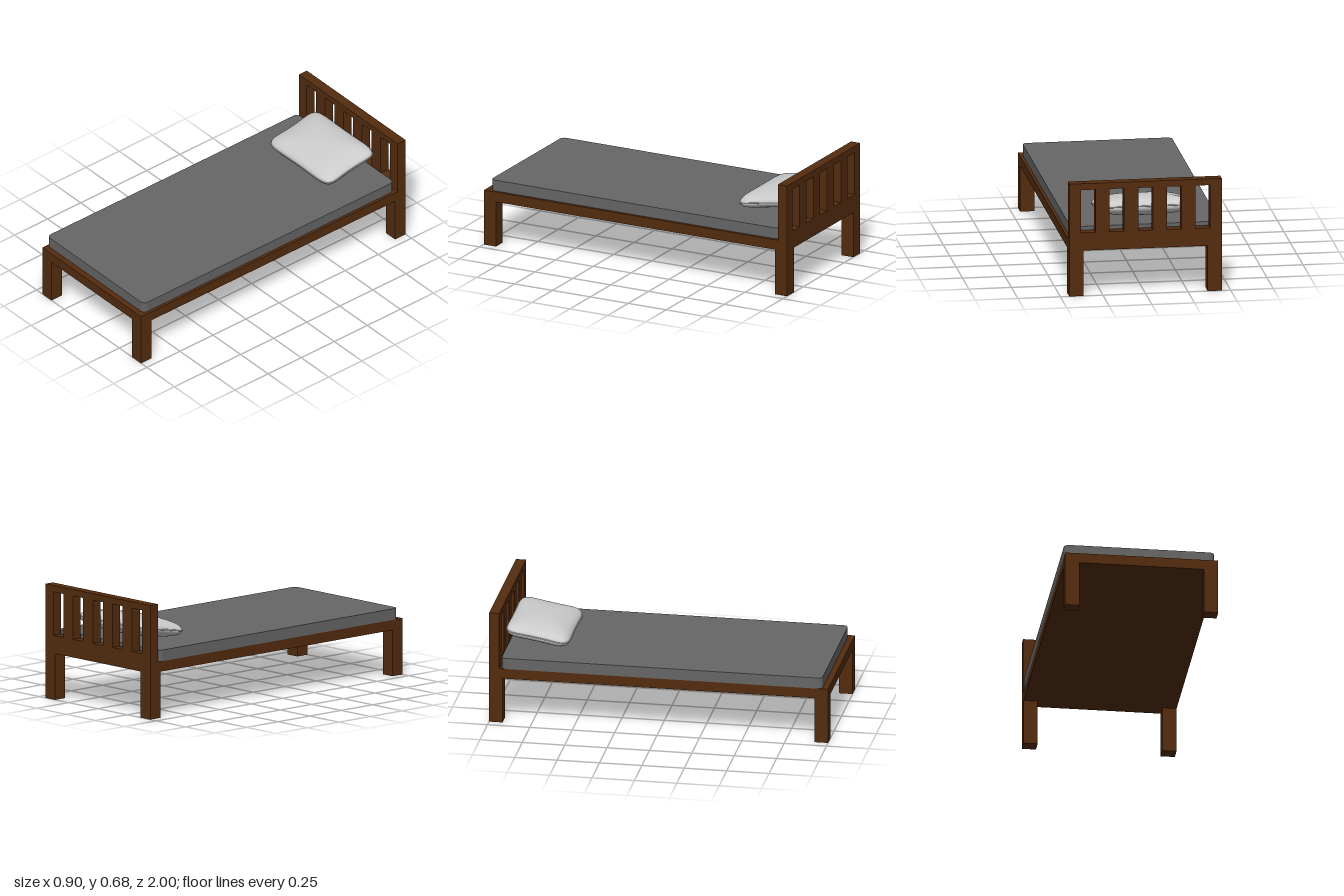
import * as THREE from 'three';
import { mergeVertices } from 'three/addons/utils/BufferGeometryUtils.js';

const wood = new THREE.MeshStandardMaterial({ color: 0x542c0f });
const mattressGrey = new THREE.MeshStandardMaterial({ color: 0x666666 });
const pillowGrey = new THREE.MeshStandardMaterial({ color: 0xcccccc });

const HALF_W = 0.448, RAIL_BOTTOM = 0.273, DECK = 0.333;

function add(parent, name, geometry, material, x = 0, y = 0, z = 0) {
  const mesh = new THREE.Mesh(geometry, material);
  mesh.name = name;
  mesh.position.set(x, y, z);
  parent.add(mesh);
  return mesh;
}

function rectPath(path, x0, y0, x1, y1) {
  path.moveTo(x0, y0).lineTo(x1, y0).lineTo(x1, y1).lineTo(x0, y1).closePath();
  return path;
}

// Upright panel with a row of five slots
function headboardGeometry() {
  const shape = rectPath(new THREE.Shape(), -HALF_W, RAIL_BOTTOM, HALF_W, 0.675);
  for (let i = -2; i <= 2; i++) {
    const x = i * 0.168;
    shape.holes.push(rectPath(new THREE.Path(), x - 0.0425, 0.38, x + 0.0425, 0.637));
  }
  return new THREE.ExtrudeGeometry(shape, { depth: 0.06, bevelEnabled: false });
}

// Slab with rounded corners in plan, base at y = 0
function mattressGeometry(w, d, h, r) {
  const x = w / 2, y = d / 2, s = new THREE.Shape();
  s.absarc(x - r, y - r, r, 0, Math.PI / 2);
  s.absarc(-x + r, y - r, r, Math.PI / 2, Math.PI);
  s.absarc(-x + r, -y + r, r, Math.PI, Math.PI * 1.5);
  s.absarc(x - r, -y + r, r, Math.PI * 1.5, Math.PI * 2);
  s.closePath();
  const g = new THREE.ExtrudeGeometry(s, { depth: h, bevelEnabled: false, curveSegments: 8 });
  return g.rotateX(-Math.PI / 2);
}

// Pillow outline: rounded rectangle with pinched sides, scaled by r
const PA = 0.29, PB = 0.197;
function pillowPoint(angle, r, y) {
  const c = Math.cos(angle), s = Math.sin(angle), n = 6;
  const k = r / Math.pow(Math.abs(c) ** n + Math.abs(s) ** n, 1 / n);
  const u = c * k, v = s * k;
  return new THREE.Vector3(
    PA * u * (1 - 0.075 * (1 - v * v)), y, PB * v * (1 - 0.06 * (1 - u * u)));
}

function pillowGeometry() {
  let g = new THREE.SphereGeometry(1, 96, 40);
  const p = g.attributes.position;
  for (let i = 0; i < p.count; i++) {
    const x = p.getX(i), y = p.getY(i), z = p.getZ(i);
    const height = 0.064 * Math.sign(y) * Math.abs(y) ** 0.85;
    const q = pillowPoint(Math.atan2(z, x), Math.hypot(x, z), height);
    p.setXYZ(i, q.x, q.y, q.z);
  }
  g.deleteAttribute('uv');
  g.deleteAttribute('normal');
  g = mergeVertices(g, 1e-5);
  g.computeVertexNormals();
  return g;
}

function seamGeometry() {
  const points = [];
  for (let i = 0; i < 96; i++) points.push(pillowPoint((i / 96) * Math.PI * 2, 1, 0));
  return new THREE.TubeGeometry(new THREE.CatmullRomCurve3(points, true), 192, 0.004, 8, true);
}

export function createModel() {
  const bed = new THREE.Group();
  bed.name = 'bed';

  // Frame and legs
  add(bed, 'bedBase', new THREE.BoxGeometry(HALF_W * 2, DECK - RAIL_BOTTOM, 1.94),
    wood, 0, (DECK + RAIL_BOTTOM) / 2, 0.03);
  add(bed, 'headboard', headboardGeometry(), wood, 0, 0, -1);
  for (const sx of [-1, 1]) for (const sz of [-1, 1]) {
    const name = (sz > 0 ? 'front' : 'back') + (sx > 0 ? 'Left' : 'Right') + 'Leg';
    add(bed, name, new THREE.BoxGeometry(0.083, RAIL_BOTTOM, 0.08), wood,
      sx * (HALF_W - 0.0415), RAIL_BOTTOM / 2, sz * 0.96);
  }

  // Mattress sits slightly to one side
  add(bed, 'mattress', mattressGeometry(0.878, 1.893, 0.066, 0.03), mattressGrey, -0.009, DECK, 0.0185);

  // Pillow leaning towards the headboard
  const pillow = new THREE.Group();
  pillow.name = 'pillow';
  add(pillow, 'pillowCushion', pillowGeometry(), pillowGrey);
  add(pillow, 'pillowSeam', seamGeometry(), pillowGrey);
  pillow.position.set(-0.013, 0.475, -0.75);
  pillow.rotation.x = 0.17;
  bed.add(pillow);

  return bed;
}
